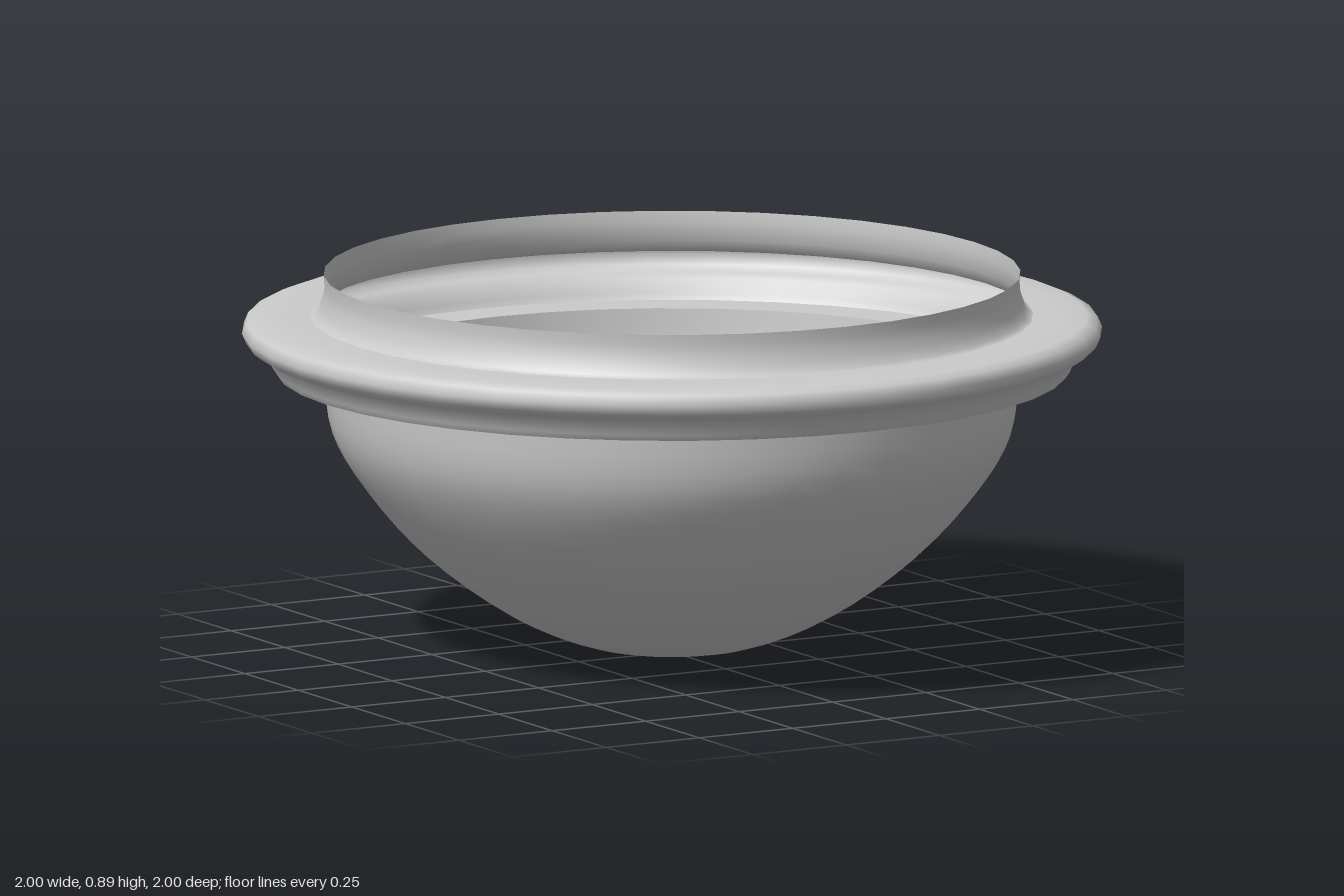
import * as THREE from 'three';

const SIDES = 40;

// Thin revolved shell from [radius, height] pairs, listed bottom to top
function revolve(name, points, material) {
  const geometry = new THREE.LatheGeometry(points.map(([r, y]) => new THREE.Vector2(r, y)), SIDES);
  const mesh = new THREE.Mesh(geometry, material);
  mesh.name = name;
  return mesh;
}

export function createModel() {
  const model = new THREE.Group();
  model.name = 'domeShade';
  const material = new THREE.MeshStandardMaterial({ color: 0xcccccc, side: THREE.DoubleSide });

  // Rounded bowl, smoothed through a few profile points
  const bowlCurve = new THREE.SplineCurve([
    [0, 0.005], [0.2, 0.03], [0.39, 0.11], [0.58, 0.25],
    [0.715, 0.4], [0.79, 0.53], [0.81, 0.67],
  ].map(([r, y]) => new THREE.Vector2(r, y)));
  const bowlPoints = bowlCurve.getPoints(24).map((p) => [Math.max(p.x, 0), p.y]);
  model.add(revolve('bowl', bowlPoints, material));

  // Flat underside between the bowl and the ring
  model.add(revolve('ringUnderside', [[0.81, 0.67], [0.92, 0.67]], material));

  // Stepped flange with a rounded lip
  model.add(revolve('flange', [
    [0.92, 0.67], [0.93, 0.685], [0.942, 0.718], [0.97, 0.728], [0.99, 0.742],
    [1, 0.765], [0.99, 0.788], [0.965, 0.798], [0.9, 0.8], [0.84, 0.8],
  ], material));

  // Upright open neck, flared where it meets the flange
  model.add(revolve('neck', [
    [0.84, 0.8], [0.825, 0.806], [0.817, 0.83], [0.81, 0.85], [0.808, 0.875], [0.81, 0.9],
  ], material));

  return model;
}
